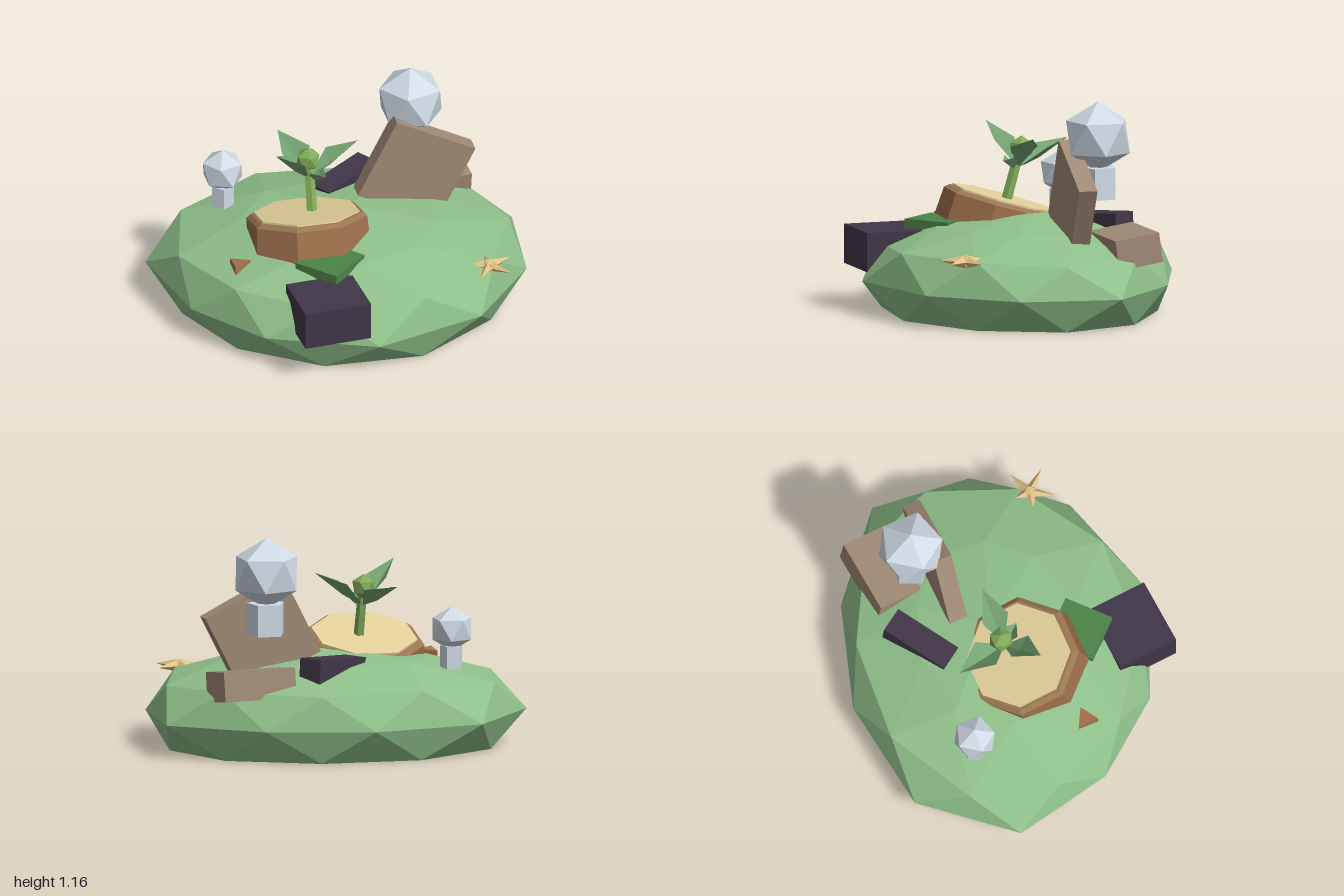
import * as THREE from 'three';
import { ConvexGeometry } from 'three/addons/geometries/ConvexGeometry.js';

const V = (x, y, z) => new THREE.Vector3(x, y, z);

export function createModel() {
  const model = new THREE.Group();

  function add(name, geometry, color, pos = [0, 0, 0], rot = [0, 0, 0], parent = model) {
    const material = new THREE.MeshStandardMaterial({ color, flatShading: true });
    const mesh = new THREE.Mesh(geometry, material);
    mesh.name = name;
    mesh.position.set(...pos);
    mesh.rotation.set(...rot, 'YXZ');
    parent.add(mesh);
    return mesh;
  }
  const box = (name, size, color, pos, rot) => add(name, new THREE.BoxGeometry(...size), color, pos, rot);

  // Faceted island: hull of staggered rings derived from the widest outline
  const outline = [[0, -0.85], [0.56, -0.68], [1, -0.31], [0.95, 0.23], [0.6, 0.66],
    [0, 0.85], [-0.57, 0.62], [-0.88, 0.23], [-1, -0.31], [-0.62, -0.76]];
  const points = [V(0.05, 0.53, -0.05)];
  outline.forEach(([x, z], i) => {
    const [nx, nz] = outline[(i + 1) % outline.length];
    const mx = (x + nx) / 2, mz = (z + nz) / 2;
    const bump = 0.012 * Math.sin(i * 2.3);
    points.push(V(x, 0.18, z), V(mx * 0.92, 0, mz * 0.92),
      V(mx * 0.94, 0.36 + bump, mz * 0.94), V(x * 0.52, 0.465 + bump, z * 0.52));
  });
  add('island', new ConvexGeometry(points), 0x8fc08a);

  // Tilted eight-sided stump with a pale cut face
  const stump = new THREE.Group();
  stump.name = 'stump';
  stump.position.set(-0.2, 0.56, 0.02);
  stump.rotation.x = -0.27;
  model.add(stump);
  const turn = [0, Math.PI / 8, 0];
  add('bark', new THREE.CylinderGeometry(0.325, 0.34, 0.2, 8), 0x9c6f4a, [0, -0.12, 0], turn, stump);
  add('barkRim', new THREE.CylinderGeometry(0.3, 0.325, 0.02, 8), 0x9c7752, [0, -0.01, 0], turn, stump);
  add('cutFace', new THREE.CylinderGeometry(0.285, 0.285, 0.02, 8), 0xe3d09a, [0, 0, 0], turn, stump);

  // Sprout: leaning stem, bud and folded leaves
  const sprout = new THREE.Group();
  sprout.name = 'sprout';
  model.add(sprout);
  add('stem', new THREE.CylinderGeometry(0.027, 0.03, 0.26, 5), 0x86b05c, [-0.17, 0.66, -0.015], [-0.27, 0, 0], sprout);
  add('bud', new THREE.IcosahedronGeometry(0.068, 0), 0x80ab58, [-0.17, 0.835, -0.07], [0, 0.3, 0.55], sprout);
  const base = V(-0.17, 0.73, -0.05);
  function leaf(tip, width) {
    const dir = tip.clone().sub(base);
    const side = V(-dir.z, 0, dir.x).normalize().multiplyScalar(width);
    const mid = base.clone().addScaledVector(dir, 0.42);
    const a = mid.clone().add(side), b = mid.clone().sub(side);
    a.y += 0.05;
    b.y += 0.05;
    mid.y -= 0.015;
    const g = new THREE.BufferGeometry().setFromPoints(
      [base, mid, a, a, mid, tip, base, b, mid, b, tip, mid]);
    g.computeVertexNormals();
    add('leaf', g, 0x76a574, [0, 0, 0], [0, 0, 0], sprout).material.side = THREE.DoubleSide;
  }
  leaf(V(-0.38, 0.96, 0.07), 0.075);
  leaf(V(0.1, 0.92, -0.06), 0.075);
  leaf(V(-0.27, 0.87, -0.35), 0.085);
  leaf(V(-0.1, 0.78, 0.05), 0.05);

  // Crystal globes on five-sided posts
  function globe(name, x, z, y, r, postR, postY, postH) {
    const group = new THREE.Group();
    group.name = name;
    group.position.set(x, 0, z);
    model.add(group);
    const ball = new THREE.IcosahedronGeometry(r, 0).rotateZ(Math.atan(2 / (1 + Math.sqrt(5))));
    add('crystal', ball, 0xd0dbe6, [0, y, 0], [0, 0, 0], group);
    add('post', new THREE.CylinderGeometry(postR, postR, postH, 5), 0xd0dbe6,
      [0, postY, 0], [0, -0.1, 0], group);
  }
  globe('largeGlobe', 0.45, -0.325, 0.975, 0.19, 0.105, 0.73, 0.17);
  globe('smallGlobe', -0.56, -0.39, 0.64, 0.12, 0.062, 0.49, 0.12);

  // Stone slabs and blocks
  box('leaningSlab', [0.48, 0.47, 0.1], 0xa08a76, [0.44, 0.63, -0.19], [0, 0, -0.47]);
  box('flatRock', [0.41, 0.16, 0.25], 0xa08a76, [0.57, 0.4, -0.445], [0.14, 0.1, 0]);
  box('darkBlock', [0.365, 0.21, 0.335], 0x403648, [-0.235, 0.325, 0.66], [0, 0.08, 0]);
  box('darkBar', [0.38, 0.13, 0.14], 0x403648, [0.11, 0.455, -0.415], [0, 0.59, 0.08]);
  box('mossPatch', [0.27, 0.06, 0.26], 0x4d8348, [-0.16, 0.45, 0.385], [0, 0.75, 0]);
  add('barkChip', new THREE.CylinderGeometry(0.065, 0.065, 0.08, 3), 0xa5714c,
    [-0.62, 0.395, 0.23], [0, 1.6, -0.1]);

  // Five-armed star: raised centre above and below a spiky rim
  const starPoints = [];
  const rim = (i) => {
    const r = i % 2 ? 0.04 : 0.145;
    const a = -0.4 + i * Math.PI / 5;
    return V(r * Math.cos(a), 0, r * Math.sin(a));
  };
  for (let i = 0; i < 10; i++) {
    starPoints.push(V(0, 0.035, 0), rim(i + 1), rim(i), V(0, -0.035, 0), rim(i), rim(i + 1));
  }
  const star = new THREE.BufferGeometry().setFromPoints(starPoints);
  star.computeVertexNormals();
  add('star', star, 0xe3c486, [0.69, 0.37, 0.465]);
  add('starCentre', new THREE.IcosahedronGeometry(0.04, 0), 0xe3c486, [0.69, 0.37, 0.465]);

  return model;
}
